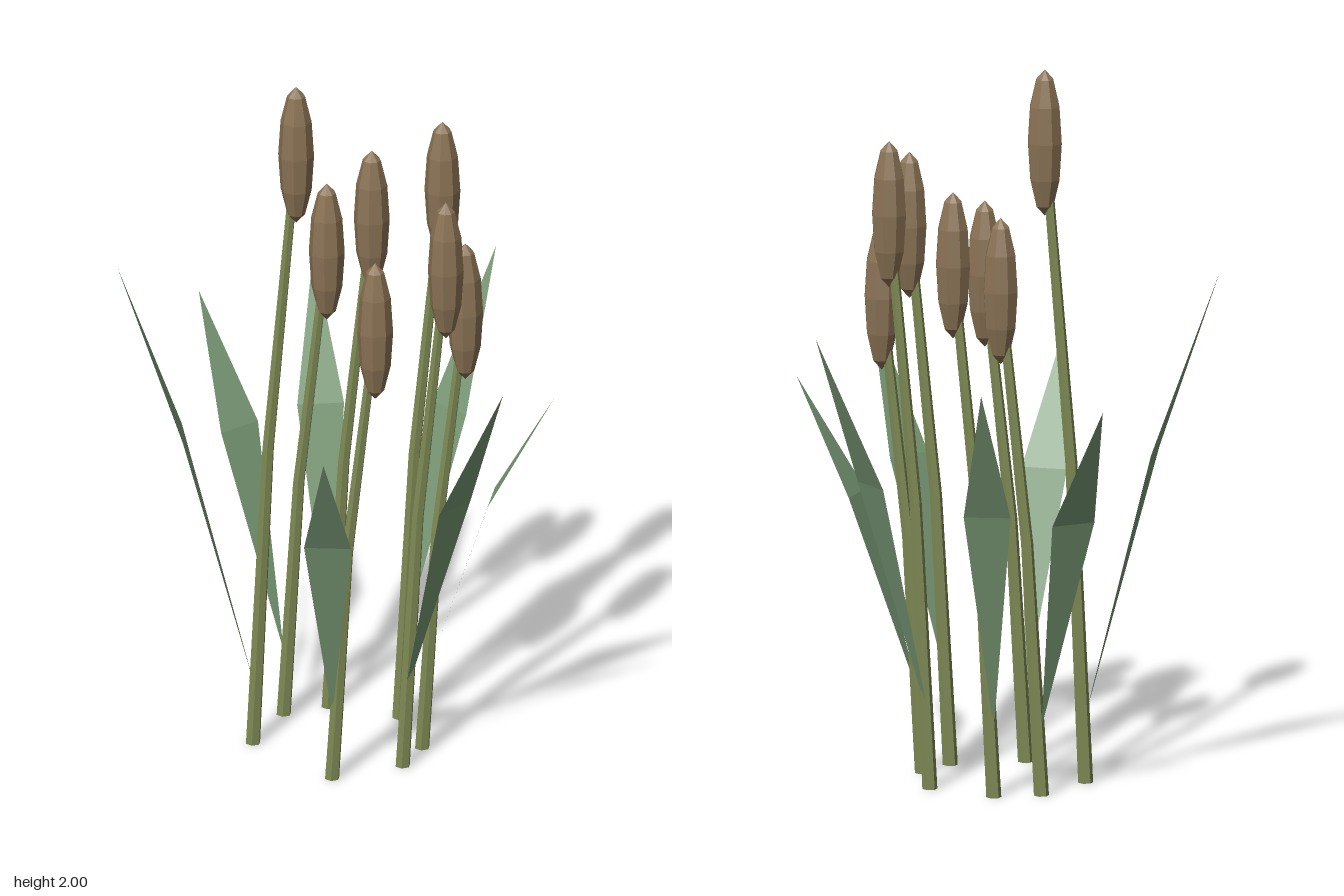
import * as THREE from 'three';

const material = (color) => new THREE.MeshStandardMaterial({ color, flatShading: true });

// Tapered stalk that starts almost upright and leans further to +x above its middle
function stemGeometry(height, lean) {
  const geo = new THREE.CylinderGeometry(0.013, 0.021, height, 6, 2);
  geo.translate(0, height / 2, 0);
  const p = geo.attributes.position;
  for (let i = 0; i < p.count; i++) {
    const t = p.getY(i) / height;
    p.setX(i, p.getX(i) + lean * (t < 0.75 ? t * 0.7 : t));
  }
  geo.computeVertexNormals();
  return geo;
}

// Diamond blade reaching out along +x, folded across its widest line
function leafGeometry(tipY, reach) {
  const midY = 0.26 + 0.47 * tipY;
  const midX = reach * 0.52;
  const geo = new THREE.BufferGeometry();
  geo.setAttribute('position', new THREE.Float32BufferAttribute([
    0, 0.19, 0,
    midX, midY, 0.065,
    midX, midY, -0.065,
    reach, tipY, 0,
  ], 3));
  geo.setIndex([0, 1, 2, 1, 3, 2]);
  geo.computeVertexNormals();
  return geo;
}

export function createModel() {
  const group = new THREE.Group();
  const stemMat = material(0x7f8a55);
  const headMat = material(0x8b7355);
  const leafMat = material(0x7a9a76);
  leafMat.side = THREE.DoubleSide;

  // Seed head: long faceted ellipsoid
  const headGeo = new THREE.SphereGeometry(1, 8, 6);
  headGeo.scale(0.05, 0.206, 0.05);

  // base x, base z, head centre height, leaf tip x, y, z
  const reeds = [
    [-0.235, 0.03, 1.794, -0.604, 1.45, 0.095],
    [-0.18, -0.17, 1.412, -0.455, 1.15, -0.422],
    [-0.065, -0.237, 1.49, -0.163, 1.21, -0.598],
    [0.138, -0.197, 1.61, 0.362, 1.31, -0.495],
    [0.23, -0.01, 1.333, 0.6, 1.09, -0.01],
    [0.195, 0.115, 1.512, 0.504, 1.235, 0.315],
    [0.015, 0.225, 1.366, 0.047, 1.12, 0.595],
  ];
  const lean = 0.12;

  for (const [x, z, height, tipX, tipY, tipZ] of reeds) {
    const reed = new THREE.Group();
    reed.name = 'reed';
    reed.position.set(x, 0, z);

    const stem = new THREE.Mesh(stemGeometry(height, lean), stemMat);
    stem.name = 'stem';

    const head = new THREE.Mesh(headGeo, headMat);
    head.name = 'seedHead';
    head.position.set(lean, height, 0);

    const dx = tipX - x, dz = tipZ - z;
    const leaf = new THREE.Mesh(leafGeometry(tipY, Math.hypot(dx, dz)), leafMat);
    leaf.name = 'leaf';
    leaf.rotation.y = -Math.atan2(dz, dx);

    reed.add(stem, head, leaf);
    group.add(reed);
  }
  return group;
}
